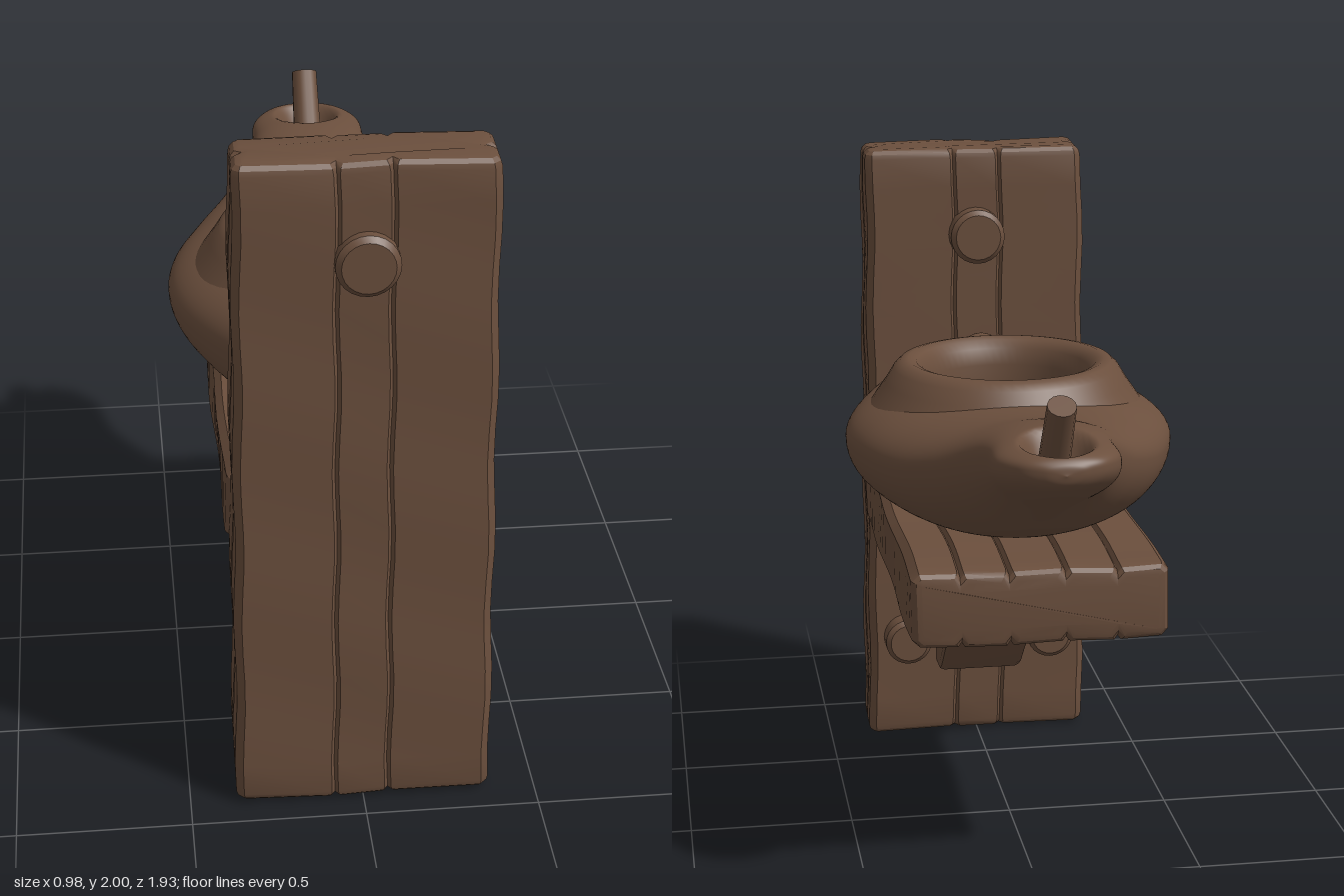
import * as THREE from 'three';
import { toCreasedNormals } from 'three/addons/utils/BufferGeometryUtils.js';

const brown = new THREE.MeshStandardMaterial({ color: 0x6b4f3d });
brown.name = 'weathered brown';

function part(parent, name, geometry) {
  const mesh = new THREE.Mesh(geometry, brown);
  mesh.name = name;
  parent.add(mesh);
  return mesh;
}

function moveVertices(geometry, rule) {
  const p = geometry.attributes.position;
  const v = new THREE.Vector3();
  for (let i = 0; i < p.count; i++) {
    v.fromBufferAttribute(p, i);
    rule(v);
    p.setXYZ(i, v.x, v.y, v.z);
  }
  return geometry;
}

// Gentle hand-cut unevenness, continuous in space
function wobble(v) {
  const { x, y, z } = v;
  v.x += 0.004 * Math.sin(9 * z + 13 * y + 1);
  v.y += 0.003 * Math.sin(17 * x + 7 * z);
  v.z += 0.003 * Math.sin(11 * y + 8 * x + 2);
}

// Worn board: chamfered section with V-shaped cracks, extruded along z
function board(w, h, length, cracks, sideCracks) {
  const c = 0.022, n = 0.009, depth = 0.014, bevel = 0.03;
  const side = (half, off, list) => {
    const pts = [[-half + c, off]];
    for (const t of list) pts.push([t - n, off], [t, off - depth], [t + n, off]);
    pts.push([half - c, off]);
    return pts;
  };
  const a = side(w / 2, h / 2, cracks), b = side(h / 2, w / 2, sideCracks);
  const outline = [
    ...a.map(([x, y]) => [x, -y]),
    ...b.map(([x, y]) => [y, x]),
    ...[...a].reverse(),
    ...[...b].reverse().map(([x, y]) => [-y, x]),
  ].map(([x, y]) => new THREE.Vector2(x, y));
  const g = new THREE.ExtrudeGeometry(new THREE.Shape(outline), {
    depth: length - 2 * bevel, steps: 20, bevelSize: bevel, bevelThickness: bevel,
    bevelOffset: -bevel, bevelSegments: 3,
  });
  return g.translate(0, 0, bevel - length / 2);
}

// Round peg lying along z, with softened rims
function peg(radius, length) {
  const h = length / 2, e = 0.015;
  const profile = [[0, -h], [radius - e, -h], [radius, -h + e], [radius, h - e], [radius - e, h], [0, h]];
  const g = new THREE.LatheGeometry(profile.map(([x, y]) => new THREE.Vector2(x, y)), 24);
  return toCreasedNormals(g.rotateX(Math.PI / 2), 0.6);
}

// Lamp body lofted along z from stations of [z, half width, top, bottom]
function lampBody() {
  const stations = [
    [0.72, 0, 1.24, 1.24], [0.7, 0.1, 1.33, 1.14], [0.6, 0.21, 1.385, 1.06], [0.45, 0.35, 1.41, 1.0],
    [0.25, 0.45, 1.41, 0.985], [0.06, 0.49, 1.41, 0.98], [-0.12, 0.47, 1.41, 0.985], [-0.3, 0.4, 1.4, 1.005],
    [-0.45, 0.31, 1.41, 1.065], [-0.6, 0.22, 1.44, 1.15], [-0.72, 0.182, 1.45, 1.215],
    [-0.84, 0.173, 1.44, 1.275], [-0.92, 0.122, 1.43, 1.32], [-0.955, 0.06, 1.41, 1.35], [-0.965, 0, 1.38, 1.38],
  ];
  const plan = new THREE.CatmullRomCurve3(
    stations.map(([z, w, top]) => new THREE.Vector3(w, top, z)), false, 'catmullrom');
  const keel = new THREE.CatmullRomCurve3(
    stations.map(([z, , , bottom]) => new THREE.Vector3(0, bottom, z)), false, 'catmullrom');
  const rows = 154, cols = 80, pos = [], index = [];
  for (let i = 0; i <= rows; i++) {
    const { x: w, y: top, z } = plan.getPoint(i / rows);
    const bottom = keel.getPoint(i / rows).y;
    const mid = bottom + (top - bottom) * 0.59;
    const nozzle = THREE.MathUtils.smoothstep(-z, 0.45, 0.75);
    for (let j = 0; j < cols; j++) {
      const a = (j / cols) * Math.PI * 2, s = Math.sin(a);
      const x = Math.max(w, 0) * Math.cos(a);
      let y;
      if (s >= 0) {
        y = mid + (top - mid) * Math.pow(s, 1 - 0.35 * nozzle);
        // Wick hole in the spout
        const d = Math.hypot(x, (z + 0.82) * 0.9);
        y -= 0.085 * (1 - THREE.MathUtils.smoothstep(d, 0.045, 0.11));
        // Room for the filling bowl
        if (Math.hypot(x, z - 0.065) < 0.31) y = Math.min(y, 1.25);
      } else {
        y = Math.max(1.0, mid - (mid - bottom) * Math.pow(-s, 0.92));
      }
      pos.push(x, y, z);
      if (i < rows) {
        const k = i * cols + j, l = i * cols + (j + 1) % cols;
        index.push(k, k + cols, l, l, k + cols, l + cols);
      }
    }
  }
  const g = new THREE.BufferGeometry();
  g.setAttribute('position', new THREE.Float32BufferAttribute(pos, 3));
  g.setIndex(index);
  g.computeVertexNormals();
  return g;
}

export function createModel() {
  const model = new THREE.Group();
  model.name = 'wall lamp';

  // Upright back board, slightly narrower at the top
  const upright = board(0.72, 0.22, 1.99, [-0.08, 0.07], [0]);
  upright.rotateX(-Math.PI / 2).translate(0, 1.003, 0.812);
  moveVertices(upright, (v) => {
    v.x *= 1.02 - 0.025 * v.y;
    v.z += 0.03 * (v.z - 0.8) * (1 - v.y);
    wobble(v);
  });
  part(model, 'backBoard', toCreasedNormals(upright, 0.5));

  // Shelf
  const shelf = board(0.74, 0.225, 1.33, [-0.22, -0.07, 0.09, 0.23], []);
  shelf.translate(0, 0.89, 0.06);
  part(model, 'shelf', toCreasedNormals(moveVertices(shelf, wobble), 0.5));

  // Diagonal bracket
  const profile = [[0.72, 0.245], [0.65, 0.245], [0.6, 0.275], [0.06, 0.79], [0.72, 0.79]];
  const bracket = new THREE.ExtrudeGeometry(
    new THREE.Shape(profile.map(([z, y]) => new THREE.Vector2(z, y))),
    { depth: 0.24, bevelSize: 0.02, bevelThickness: 0.02, bevelOffset: -0.02, bevelSegments: 2 });
  bracket.translate(0, 0, -0.12).rotateY(-Math.PI / 2);
  part(model, 'bracket', toCreasedNormals(bracket, 0.5));

  // Pegs
  part(model, 'topPeg', peg(0.087, 0.33)).position.set(0, 1.72, 0.797);
  for (const s of [1, -1]) {
    part(model, s > 0 ? 'leftPeg' : 'rightPeg', peg(0.077, 0.1)).position.set(0.24 * s, 0.355, 0.672);
  }

  // Oil lamp
  const lamp = new THREE.Group();
  lamp.name = 'oilLamp';
  model.add(lamp);
  part(lamp, 'lampBody', lampBody());

  const rim = [[0.41, 1.33], [0.365, 1.395], [0.34, 1.437], [0.318, 1.457], [0.295, 1.462], [0.27, 1.453],
    [0.252, 1.43], [0.243, 1.38], [0.243, 1.31], [0.2, 1.3], [0, 1.3]];
  const bowl = new THREE.LatheGeometry(rim.map(([x, y]) => new THREE.Vector2(x, y)), 64);
  part(lamp, 'bowlRim', toCreasedNormals(bowl, 0.75)).position.z = 0.065;

  const lug = part(lamp, 'handleLug', new THREE.SphereGeometry(1, 32, 20));
  lug.scale.set(0.11, 0.17, 0.15);
  lug.position.set(0, 1.25, 0.57);

  // Wick leaning out of the spout
  const from = new THREE.Vector3(0, 1.34, -0.755), to = new THREE.Vector3(0, 1.552, -0.888);
  const axis = to.clone().sub(from);
  const wick = part(lamp, 'wick', new THREE.CylinderGeometry(0.04, 0.045, axis.length(), 14));
  wick.position.copy(from).add(to).multiplyScalar(0.5);
  wick.quaternion.setFromUnitVectors(new THREE.Vector3(0, 1, 0), axis.normalize());

  return model;
}
